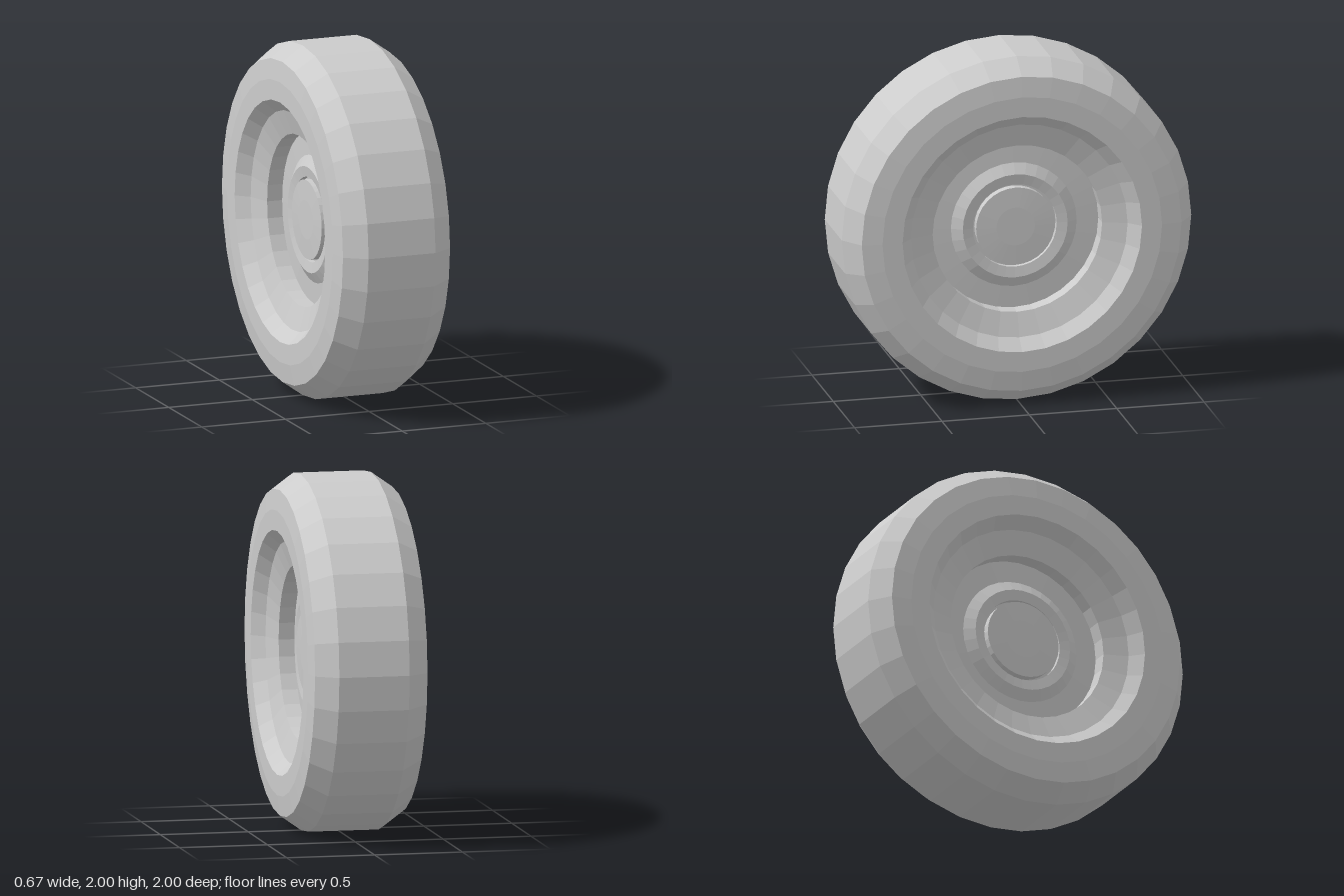
import * as THREE from 'three';

const SEGMENTS = 32;

// Profiles are [radius, distance from the wheel's middle plane], running outside to axis
const TIRE = [[1, 0.2], [0.915, 0.32], [0.8, 0.335], [0.685, 0.335]];
const RIM = [[0.685, 0.335], [0.62, 0.265], [0.485, 0.22], [0.485, 0.13]];
const DISC = [[0.485, 0.13], [0.36, 0.135], [0.3, 0.17], [0.24, 0.16], [0.24, 0.13], [0.22, 0.13]];
const CAP = [[0.225, 0.13], [0.225, 0.175], [0.11, 0.18], [0, 0.18]];

export function createModel() {
  const material = new THREE.MeshStandardMaterial({ color: 0xcccccc, flatShading: true });

  // Revolve a profile around the axle (x axis)
  const revolve = (name, profile) => {
    const geometry = new THREE.LatheGeometry(profile.map(([r, x]) => new THREE.Vector2(r, x)), SEGMENTS);
    geometry.rotateZ(-Math.PI / 2);
    const mesh = new THREE.Mesh(geometry, material);
    mesh.name = name;
    return mesh;
  };

  const wheel = new THREE.Group();
  wheel.name = 'wheel';
  wheel.position.y = 1;

  // Tire: tread, shoulders and both sidewalls in one ring
  const mirrored = TIRE.map(([r, x]) => [r, -x]).reverse();
  wheel.add(revolve('tire', [...mirrored, ...TIRE]));

  // Recessed rim, disc and hub cap on both sides
  for (const [side, turn] of [['left', 0], ['right', Math.PI]]) {
    const face = new THREE.Group();
    face.name = side + 'WheelFace';
    face.add(revolve('rim', RIM), revolve('hubDisc', DISC), revolve('hubCap', CAP));
    face.rotation.y = turn;
    wheel.add(face);
  }

  const model = new THREE.Group();
  model.add(wheel);
  return model;
}
